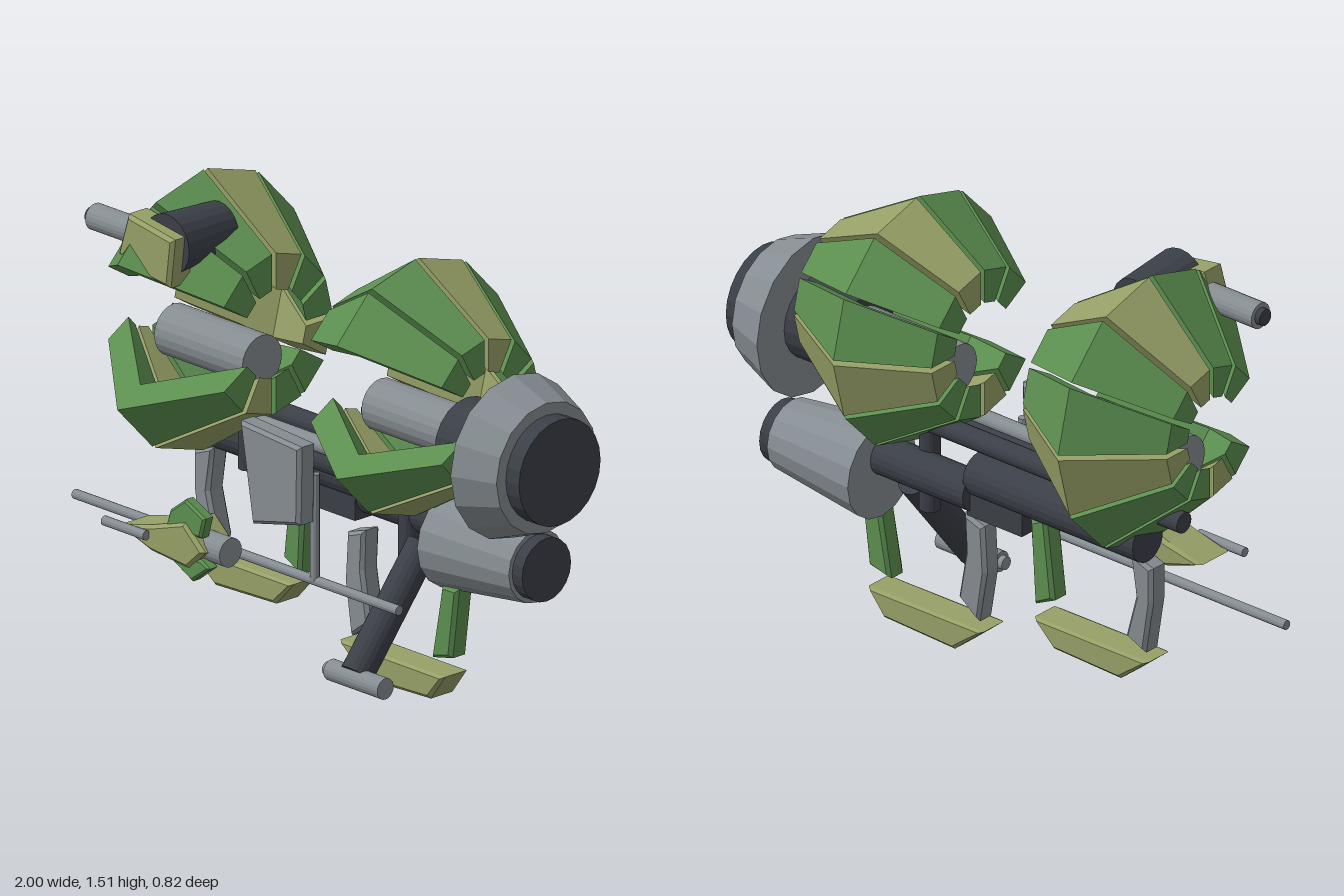
import * as THREE from 'three';

const paint = (name, color) => {
  const m = new THREE.MeshStandardMaterial({ color });
  m.name = name;
  return m;
};

export function createModel() {
  const model = new THREE.Group();
  model.name = 'twinEngineMachine';
  const green = paint('leaf green', 0x5c8f50);
  const olive = paint('olive', 0x97a067);
  const grey = paint('light steel', 0x868d92);
  const dark = paint('dark steel', 0x3b3f47);

  const add = (name, geometry, material, parent = model) => {
    const g = geometry.index ? geometry.toNonIndexed() : geometry;
    g.computeVertexNormals(); // faceted look
    const mesh = new THREE.Mesh(g, material);
    mesh.name = name;
    parent.add(mesh);
    return mesh;
  };

  // Cylinder or cone between two points
  const rod = (name, mat, a, b, r0, r1 = r0, sides = 20) => {
    const from = new THREE.Vector3(...a), to = new THREE.Vector3(...b);
    const dir = to.clone().sub(from);
    const mesh = add(name, new THREE.CylinderGeometry(r1, r0, dir.length(), sides), mat);
    mesh.position.copy(from).add(to).multiplyScalar(0.5);
    mesh.quaternion.setFromUnitVectors(new THREE.Vector3(0, 1, 0), dir.normalize());
    return mesh;
  };
  const rodX = (name, mat, x0, x1, y, z, r0, r1, sides) =>
    rod(name, mat, [x0, y, z], [x1, y, z], r0, r1, sides);

  // Plate with an outline in x/y, softened edges, from z0 to z1
  const plate = (name, mat, pts, z0, z1, bevel = 0.012) => {
    const shape = new THREE.Shape(pts.map(p => new THREE.Vector2(...p)));
    const g = new THREE.ExtrudeGeometry(shape, {
      depth: z1 - z0 - 2 * bevel, bevelThickness: bevel, bevelSize: bevel,
      bevelOffset: -bevel, bevelSegments: 1,
    });
    g.translate(0, 0, z0 + bevel);
    return add(name, g, mat);
  };

  // One armour segment: a chevron section swept flat from angle a0 to a1
  const segment = (section, a0, a1, gap, cy, cz, zScale) => {
    const ring = (a, shift) => section.map(([x, r]) => [
      x,
      cy + r * Math.sin(a) + shift * Math.cos(a),
      cz + zScale * (r * Math.cos(a) - shift * Math.sin(a)),
    ]);
    const A = ring(a0, gap), B = ring(a1, -gap), pos = [];
    const quad = (a, b, c, d) => pos.push(...a, ...b, ...c, ...a, ...c, ...d);
    for (let i = 0; i < 6; i++) {
      const j = (i + 1) % 6;
      quad(A[i], A[j], B[j], B[i]);
    }
    for (const [a, b, c, d] of [[0, 1, 4, 5], [1, 2, 3, 4]]) {
      quad(A[d], A[c], A[b], A[a]);
      quad(B[a], B[b], B[c], B[d]);
    }
    const g = new THREE.BufferGeometry();
    g.setAttribute('position', new THREE.Float32BufferAttribute(pos, 3));
    return g;
  };

  // Armour shells, open towards the front
  const colours = [green, green, olive, green, green, olive, green, green, olive, green];
  const shell = (name, section, cy, cz) => {
    const group = new THREE.Group();
    group.name = name;
    colours.forEach((mat, i) => {
      const a = THREE.MathUtils.degToRad(30 + i * 30);
      add('armourSegment' + (i + 1), segment(section, a, a + Math.PI / 6, 0.009, cy, cz, 0.95), mat, group);
    });
    model.add(group);
  };
  shell('rightShell', [[-0.83, 0.225], [-0.58, 0.465], [-0.27, 0.265],
    [-0.27, 0.145], [-0.58, 0.345], [-0.83, 0.12]], 1.047, 0.025);
  shell('leftShell', [[0.11, 0.255], [0.375, 0.425], [0.69, 0.24],
    [0.69, 0.13], [0.375, 0.31], [0.11, 0.14]], 1.04, 0.02);

  // Engine cores and main exhaust
  rodX('rightCore', grey, -0.75, -0.35, 0.93, 0, 0.085);
  rodX('leftCore', grey, 0.19, 0.58, 0.93, 0, 0.085);
  rodX('mainShaft', dark, 0.58, 0.79, 0.915, 0, 0.14);
  rodX('mainNozzle', grey, 0.79, 0.94, 0.915, 0, 0.27, 0.215, 16);
  rodX('mainNozzlePlug', dark, 0.9, 1.0, 0.915, 0, 0.175, 0.175, 24);

  // Lower exhaust
  rodX('lowerNozzle', grey, 0.43, 0.8, 0.53, -0.09, 0.163, 0.12, 16);
  rodX('lowerNozzlePlug', dark, 0.78, 0.845, 0.53, -0.09, 0.105);

  // Frame bars
  rodX('upperBar', dark, -0.79, 0.65, 0.75, -0.06, 0.035);
  rodX('lowerBar', dark, -0.64, 0.06, 0.635, -0.06, 0.072);
  rodX('lowerBarExtension', dark, 0.05, 0.45, 0.58, -0.08, 0.065);
  rodX('crossTube', dark, -0.35, 0.18, 0.7, 0.03, 0.045);
  rodX('crossPipe', grey, -0.35, 0.18, 0.755, 0.06, 0.027);
  const block = add('frameBlock', new THREE.BoxGeometry(0.225, 0.1, 0.1), dark);
  block.position.set(-0.052, 0.555, -0.06);
  rod('leftPost', dark, [0.275, 0.43, -0.04], [0.275, 0.76, -0.04], 0.035);
  rod('rightPost', dark, [-0.41, 0.56, 0.0], [-0.41, 0.76, 0.0], 0.034);

  // Front shield, thin probe and its hanger
  plate('frontShield', grey, [[-0.11, 0.52], [0.105, 0.57], [0.11, 0.83], [-0.165, 0.848]], 0.2, 0.275);
  rod('probeHanger', grey, [0.09, 0.365, 0.19], [0.09, 0.72, 0.19], 0.016, 0.016, 12);
  rodX('probe', grey, -1.0, 0.47, 0.365, 0.187, 0.016, 0.016, 12);

  // Diagonal strut with its foot
  rod('strut', dark, [0.35, 0.14, 0.255], [0.35, 0.5, -0.03], 0.054);
  rodX('strutFoot', grey, 0.245, 0.49, 0.13, 0.265, 0.035);
  rodX('strutFootTip', grey, 0.225, 0.25, 0.13, 0.265, 0.022);

  // Skids and their legs
  plate('rightSkid', olive, [[-0.555, 0.135], [-0.28, 0.145], [-0.2, 0.23], [-0.67, 0.23]], -0.1, 0.016);
  plate('leftSkid', olive, [[0.13, 0.003], [0.42, 0.015], [0.485, 0.103], [0.01, 0.103]], -0.1, 0.016);
  plate('rightGreyLeg', grey, [[-0.64, 0.245], [-0.56, 0.28], [-0.6, 0.43], [-0.58, 0.58],
    [-0.67, 0.55], [-0.67, 0.43]], -0.078, -0.003);
  plate('leftGreyLeg', grey, [[0.045, 0.12], [0.13, 0.18], [0.1, 0.35], [0.105, 0.485],
    [0.025, 0.46], [0.015, 0.3]], -0.078, -0.003);
  plate('rightGreenLeg', green, [[-0.265, 0.3], [-0.185, 0.262], [-0.165, 0.55], [-0.23, 0.58]], -0.078, -0.003);
  plate('leftGreenLeg', green, [[0.41, 0.145], [0.5, 0.165], [0.53, 0.4], [0.455, 0.4]], -0.078, -0.003);

  // Front pod with fins, barrel and tail pipe
  plate('podBody', olive, [[-0.6, 0.415], [-0.46, 0.365], [-0.29, 0.35], [-0.215, 0.42],
    [-0.305, 0.5], [-0.46, 0.45]], 0.235, 0.38);
  plate('podUpperFin', green, [[-0.4, 0.46], [-0.24, 0.46], [-0.22, 0.53], [-0.31, 0.573], [-0.38, 0.52]], 0.325, 0.37, 0.008);
  plate('podLowerFin', green, [[-0.4, 0.375], [-0.28, 0.308], [-0.2, 0.37], [-0.24, 0.39]], 0.325, 0.37, 0.008);
  rodX('podTailPipe', grey, -0.3, -0.165, 0.42, 0.31, 0.048);
  rodX('podBarrel', grey, -0.65, -0.46, 0.42, 0.392, 0.016, 0.016, 12);

  // Upper turret
  rod('turretDrum', dark, [-0.47, 1.36, 0.07], [-0.465, 1.36, 0.3], 0.085, 0.1);
  plate('turretBlock', olive, [[-0.64, 1.295], [-0.49, 1.25], [-0.405, 1.24], [-0.385, 1.405], [-0.595, 1.438]], 0.25, 0.35);
  rodX('turretBarrel', grey, -0.815, -0.55, 1.355, 0.275, 0.044);
  rodX('turretMuzzle', dark, -0.835, -0.81, 1.355, 0.275, 0.028);

  return model;
}
